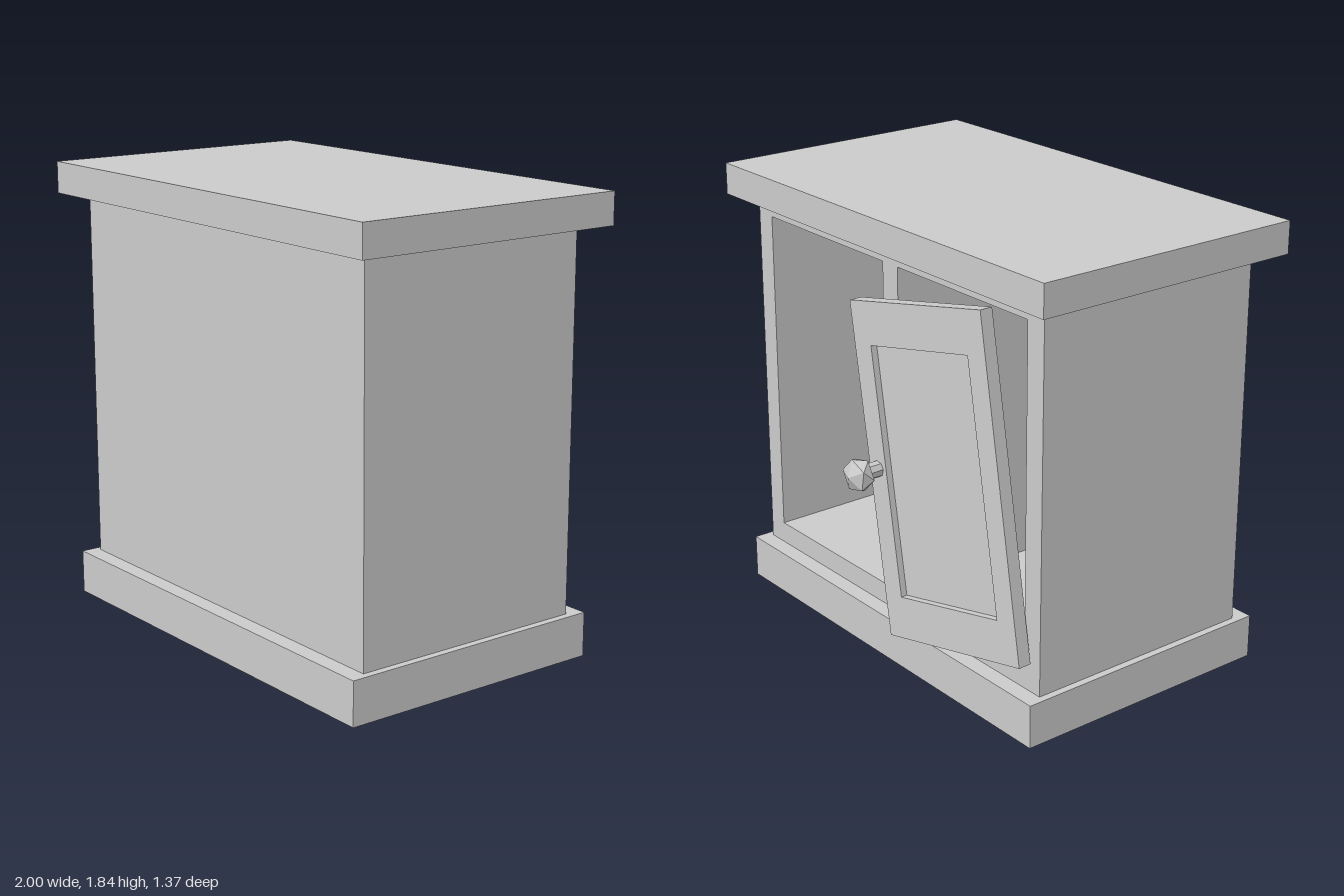
import * as THREE from 'three';

const material = new THREE.MeshStandardMaterial({ color: 0xcccccc, flatShading: true });

function add(parent, name, geometry) {
  const mesh = new THREE.Mesh(geometry, material);
  mesh.name = name;
  parent.add(mesh);
  return mesh;
}

// Box given by its limits on each axis
function block(x0, x1, y0, y1, z0, z1) {
  return new THREE.BoxGeometry(x1 - x0, y1 - y0, z1 - z0)
    .translate((x0 + x1) / 2, (y0 + y1) / 2, (z0 + z1) / 2);
}

function rectangle(path, x0, x1, y0, y1) {
  path.moveTo(x0, y0);
  path.lineTo(x1, y0);
  path.lineTo(x1, y1);
  path.lineTo(x0, y1);
  path.closePath();
  return path;
}

// Rectangular plate with rectangular holes, extruded from z0 to z1
function plateWithHoles(outer, holes, z0, z1) {
  const shape = rectangle(new THREE.Shape(), ...outer);
  for (const hole of holes) shape.holes.push(rectangle(new THREE.Path(), ...hole));
  return new THREE.ExtrudeGeometry(shape, { depth: z1 - z0, bevelEnabled: false }).translate(0, 0, z0);
}

// Loose door: local origin at the centre of its outer face, outer side towards -z
function createDoor() {
  const door = new THREE.Group();
  door.name = 'door';
  const w = 0.368, h = 0.674, stile = 0.095, rail = 0.172;
  const recess = 0.028, thickness = 0.058;

  add(door, 'doorFrame', plateWithHoles(
    [-w, w, -h, h], [[-w + stile, w - stile, -h + rail, h - rail]], 0, recess));
  add(door, 'doorPanel', block(-w, w, -h, h, recess, thickness));

  // Knob on the middle of the free stile
  const knob = new THREE.Group();
  knob.name = 'knob';
  knob.position.set(0.322, 0.012, 0);
  add(knob, 'knobStem', new THREE.CylinderGeometry(0.033, 0.033, 0.08, 8)
    .rotateX(Math.PI / 2).translate(0, 0, -0.04));
  add(knob, 'knobHead', new THREE.IcosahedronGeometry(0.075, 0)
    .rotateX(Math.atan(2 / (1 + Math.sqrt(5)))).scale(1, 1, 0.7).translate(0, 0, -0.097));
  door.add(knob);

  // Hangs askew, leaning out from the cabinet
  const xAxis = new THREE.Vector3(0.72, -0.14, -0.06).normalize();
  const zAxis = xAxis.clone().cross(new THREE.Vector3(0.275, 1.32, 0.02)).normalize();
  const yAxis = zAxis.clone().cross(xAxis);
  door.quaternion.setFromRotationMatrix(new THREE.Matrix4().makeBasis(xAxis, yAxis, zAxis));
  door.position.set(-0.376, 0.9, -0.51);
  return door;
}

export function createModel() {
  const cabinet = new THREE.Group();
  cabinet.name = 'cabinet';

  add(cabinet, 'base', block(-0.93, 0.93, 0, 0.18, -0.49, 0.66));
  add(cabinet, 'top', block(-1, 1, 1.71, 1.84, -0.51, 0.68));

  // Body with two open compartments and a thick closed wall
  add(cabinet, 'compartments', plateWithHoles(
    [-0.9, 0.9, 0.18, 1.71],
    [[-0.81, -0.047, 0.27, 1.64], [0.047, 0.81, 0.27, 1.64]], -0.42, 0.355));
  add(cabinet, 'closedWall', block(-0.9, 0.9, 0.18, 1.71, 0.355, 0.59));

  cabinet.add(createDoor());

  // Centre the depth
  const model = new THREE.Group();
  model.name = 'cabinetModel';
  model.add(cabinet);
  return model;
}
